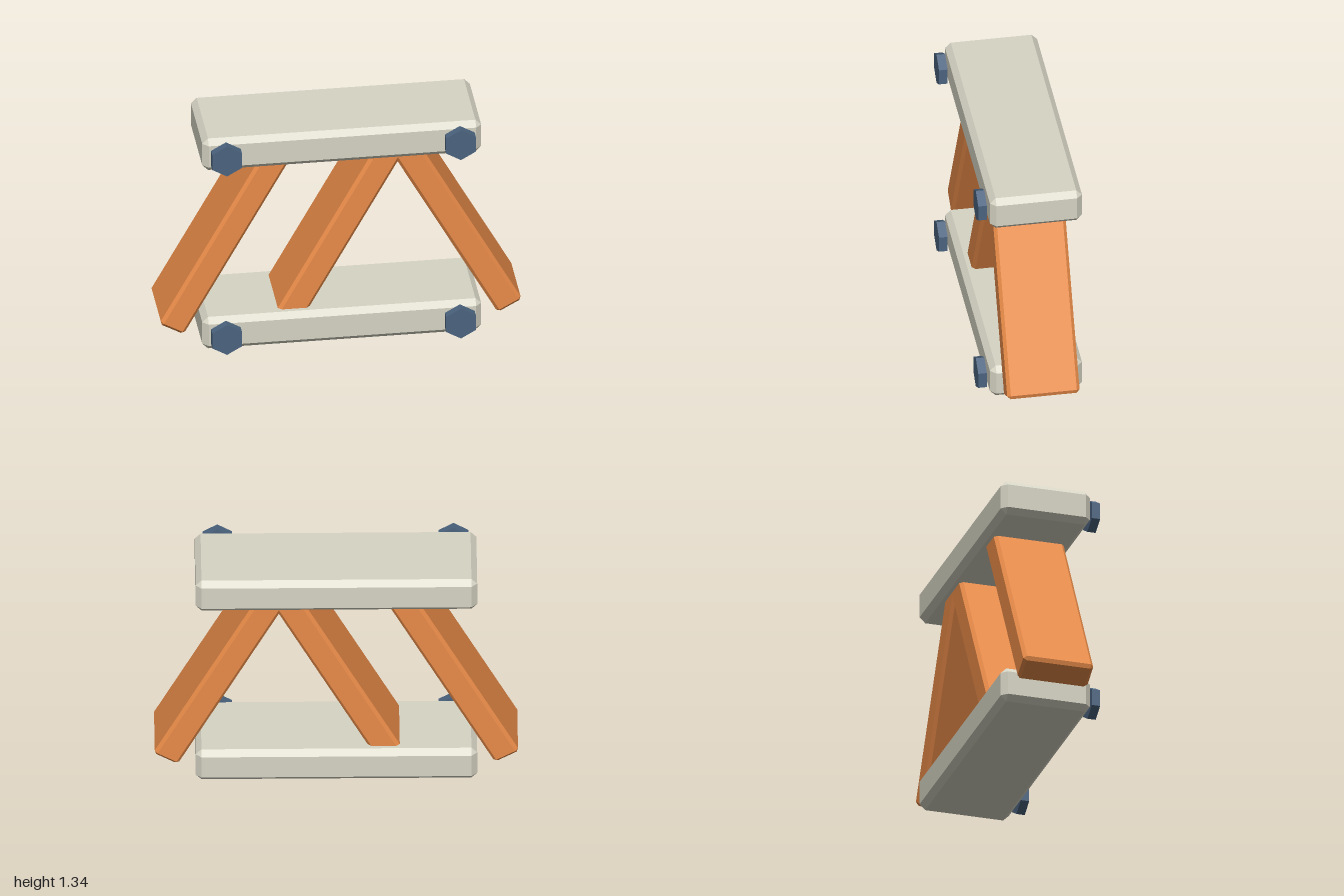
import * as THREE from 'three';
import { ConvexGeometry } from 'three/addons/geometries/ConvexGeometry.js';

const material = (color) => new THREE.MeshStandardMaterial({ color, flatShading: true });

// Box with every edge and corner chamfered by c
function chamferedBox(w, h, d, c) {
  const half = [w / 2, h / 2, d / 2];
  const points = [];
  for (const sx of [-1, 1]) for (const sy of [-1, 1]) for (const sz of [-1, 1]) {
    for (let face = 0; face < 3; face++) {
      const [x, y, z] = half.map((s, axis) => (axis === face ? s : s - c));
      points.push(new THREE.Vector3(sx * x, sy * y, sz * z));
    }
  }
  return new ConvexGeometry(points);
}

export function createModel() {
  const group = new THREE.Group();
  const add = (name, geometry, mat, x, y, z) => {
    const mesh = new THREE.Mesh(geometry, mat);
    mesh.name = name;
    mesh.position.set(x, y, z);
    group.add(mesh);
    return mesh;
  };

  const plateMaterial = material(0xd6d4c4);
  const braceMaterial = material(0xe88b48);
  const boltMaterial = material(0x4b647f);

  // Lower and upper plates, each with two hexagonal bolt heads on the front
  const plate = chamferedBox(1.55, 0.2, 0.514, 0.032);
  const bolt = new THREE.CylinderGeometry(0.095, 0.095, 0.048, 6);
  bolt.rotateX(Math.PI / 2);
  for (const [level, y] of [['lower', 0.1], ['upper', 1.235]]) {
    add(level + 'Plate', plate, plateMaterial, 0, y, -0.03);
    for (const [side, x] of [['Right', -0.65], ['Left', 0.65]]) {
      add(level + side + 'Bolt', bolt, boltMaterial, x, y, 0.266);
    }
  }

  // Slanted braces between the plates
  const brace = chamferedBox(0.155, 1.269, 0.404, 0.018);
  const tilt = THREE.MathUtils.degToRad(29);
  for (const [name, x, lean] of [['rightBrace', -0.633, -1], ['middleBrace', 0, -1], ['leftBrace', 0.633, 1]]) {
    add(name, brace, braceMaterial, x, 0.67, -0.031).rotation.z = lean * tilt;
  }
  return group;
}
